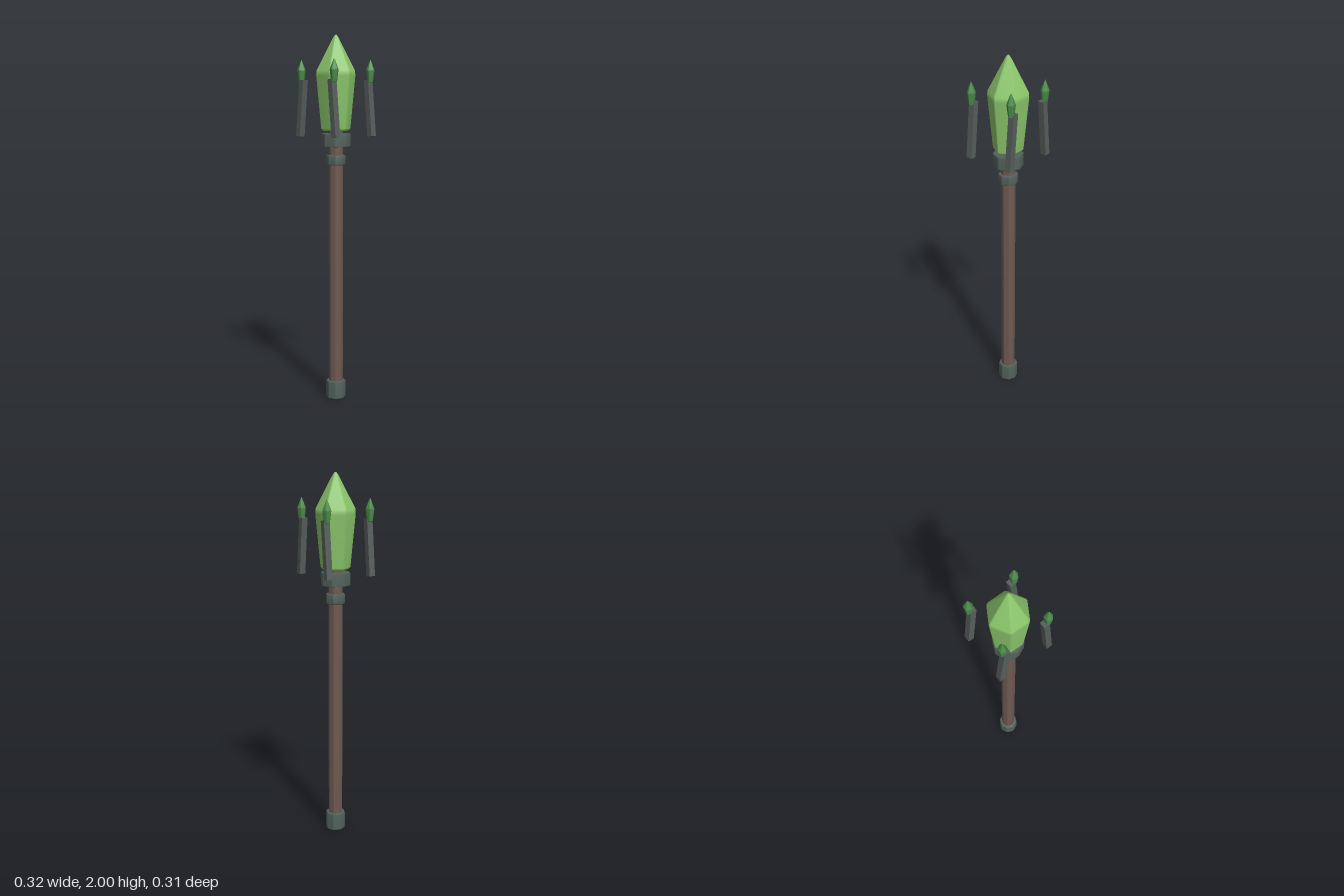
import * as THREE from 'three';

const paint = (name, color) => {
  const m = new THREE.MeshStandardMaterial({ color });
  m.name = name;
  return m;
};

// Solid with n sides and softly cut edges; profile lists [y, radius] from bottom to top.
function bevelledPrism(n, bevel, profile) {
  const corners = [];
  for (let i = 0; i < n; i++) {
    const corner = (k) => {
      const a = (k / n) * Math.PI * 2;
      return new THREE.Vector2(Math.cos(a), Math.sin(a));
    };
    corners.push(corner(i).lerp(corner(i - 1), bevel), corner(i).lerp(corner(i + 1), bevel));
  }
  const m = corners.length;
  const pos = [];
  const idx = [];
  for (const [y, r] of profile) for (const c of corners) pos.push(c.x * r, y, c.y * r);
  for (let j = 0; j < profile.length - 1; j++) {
    for (let i = 0; i < m; i++) {
      const a = j * m + i;
      const b = j * m + ((i + 1) % m);
      idx.push(a, a + m, b, b, a + m, b + m);
    }
  }
  // End caps
  const last = (profile.length - 1) * m;
  const low = pos.length / 3;
  pos.push(0, profile[0][0], 0, 0, profile[profile.length - 1][0], 0);
  for (let i = 0; i < m; i++) {
    const k = (i + 1) % m;
    idx.push(low, i, k, low + 1, last + k, last + i);
  }
  const g = new THREE.BufferGeometry();
  g.setAttribute('position', new THREE.Float32BufferAttribute(pos, 3));
  g.setIndex(idx);
  g.computeVertexNormals();
  return g;
}

// Eight-sided band with chamfered rims
const band = (y0, y1, r, c = 0.006) =>
  bevelledPrism(8, 0.08, [[y0, r - c], [y0 + c, r], [y1 - c, r], [y1, r - c]]);

export function createModel() {
  const model = new THREE.Group();
  model.name = 'staff';
  const wood = paint('wood', 0x6e5a51);
  const metal = paint('metal', 0x53625c);
  const prongMetal = paint('prongMetal', 0x565e5c);
  const crystal = paint('crystal', 0x8cc86c);
  const darkCrystal = paint('darkCrystal', 0x4c8c4a);

  const add = (name, geometry, material) => {
    const mesh = new THREE.Mesh(geometry, material);
    mesh.name = name;
    model.add(mesh);
    return mesh;
  };

  // Shaft and its fittings
  add('shaft', bevelledPrism(8, 0.08, [[0.02, 0.04], [1.5, 0.04]]), wood);
  add('pommel', band(0, 0.1, 0.056), metal);
  add('lowerCollar', band(1.31, 1.365, 0.054), metal);
  add('upperCollar', band(1.41, 1.48, 0.082, 0.003), metal);

  // Large head crystal
  add('headCrystal', bevelledPrism(6, 0.06, [
    [1.495, 0.07], [1.508, 0.082], [1.785, 0.109], [1.812, 0.108], [1.985, 0.016], [2, 0.004],
  ]), crystal);

  // Four leaning prongs, each tipped with a small crystal
  const prongGeometry = new THREE.BoxGeometry(0.032, 0.3, 0.034);
  const tipGeometry = bevelledPrism(5, 0.12, [
    [1.748, 0.014], [1.753, 0.017], [1.81, 0.025], [1.818, 0.024], [1.862, 0.005], [1.87, 0.001],
  ]);
  for (const sx of [-1, 1]) {
    for (const sz of [-1, 1]) {
      const prong = add('prong', prongGeometry, prongMetal);
      prong.position.set(sx * 0.128, 1.615, sz * 0.13);
      prong.rotation.z = sx * 0.1;
      add('prongCrystal', tipGeometry, darkCrystal).position.set(sx * 0.13, 0, sz * 0.13);
    }
  }
  return model;
}
